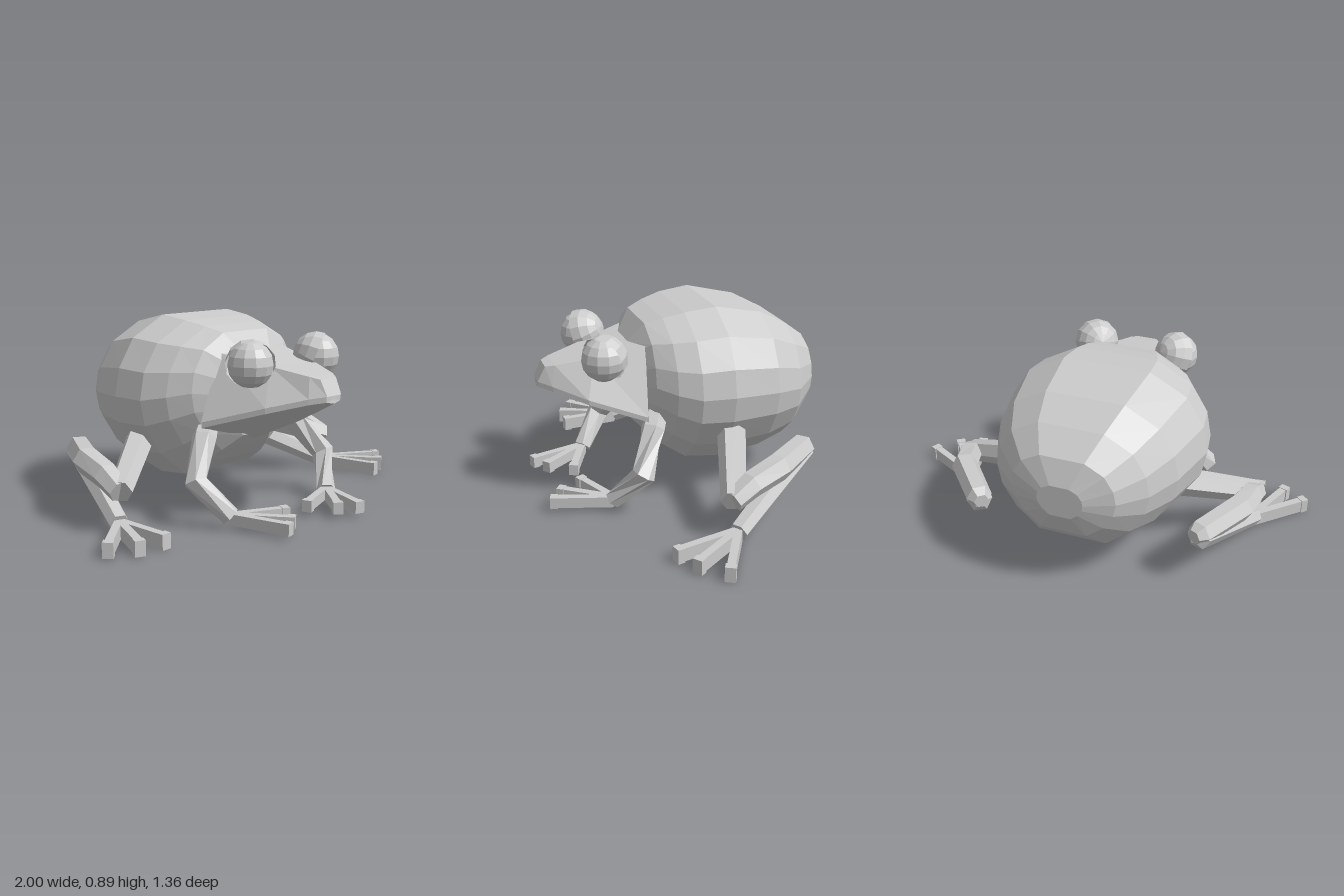
import * as THREE from 'three';

const mat = new THREE.MeshStandardMaterial({ color: 0xcccccc, flatShading: true });
const lidMat = new THREE.MeshStandardMaterial({ color: 0xcccccc, flatShading: true, side: THREE.DoubleSide });
const V = (x, y, z) => new THREE.Vector3(x, y, z);
const MID = -0.065; // centre line of the arms

// Closed faceted skin over rings that run counter-clockwise around the direction of travel
function skin(rings) {
  const pos = [], n = rings[0].length;
  const tri = (...p) => p.forEach(v => pos.push(v.x, v.y, v.z));
  const centre = r => r.reduce((s, v) => s.add(v), V(0, 0, 0)).divideScalar(n);
  const first = rings[0], last = rings[rings.length - 1];
  const c0 = centre(first), c1 = centre(last);
  for (let j = 0; j < n; j++) {
    const k = (j + 1) % n;
    for (let i = 0; i < rings.length - 1; i++) {
      const [a, b] = [rings[i], rings[i + 1]];
      tri(a[j], a[k], b[k]);
      tri(a[j], b[k], b[j]);
    }
    tri(c0, first[k], first[j]);
    tri(c1, last[j], last[k]);
  }
  const g = new THREE.BufferGeometry();
  g.setAttribute('position', new THREE.Float32BufferAttribute(pos, 3));
  g.computeVertexNormals();
  return g;
}

function add(parent, name, geometry, material = mat) {
  const m = new THREE.Mesh(geometry, material);
  m.name = name;
  parent.add(m);
  return m;
}

// Six-sided limb through points, one radius per point
function limb(points, radii) {
  return skin(points.map((p, i) => {
    const t = points[Math.min(i + 1, points.length - 1)].clone()
      .sub(points[Math.max(i - 1, 0)]).normalize();
    const u = V(0, 1, 0).cross(t).normalize();
    const w = t.clone().cross(u);
    return Array.from({ length: 6 }, (_, k) => {
      const a = k * Math.PI / 3;
      return p.clone().addScaledVector(u, radii[i] * Math.cos(a)).addScaledVector(w, radii[i] * Math.sin(a));
    });
  }));
}

// Bar-shaped digits with square pads, fanning out from one point
function digits(parent, name, from, tips, y, height) {
  tips.forEach(([x, z]) => {
    const dx = x - from.x, dz = z - from.z, len = Math.hypot(dx, dz);
    const digit = new THREE.Group();
    digit.name = name;
    digit.position.set(from.x, y, from.z);
    digit.rotation.y = Math.atan2(dx, dz);
    add(digit, name + 'Bar', new THREE.BoxGeometry(0.036, height * 0.92, len)).position.z = len / 2;
    add(digit, name + 'Pad', new THREE.BoxGeometry(0.046, height, 0.035)).position.z = len - 0.0175;
    parent.add(digit);
  });
}

function buildBody(frog) {
  const half = [[0.45, -1], [0.76, -0.66], [0.95, -0.27], [1, 0.06], [0.95, 0.4], [0.78, 0.75], [0.42, 1]];
  const outline = [...half, ...half.map(([x, y]) => [-x, y]).reverse()];
  // z, left edge, right edge, bottom, top
  const sections = [
    [-0.683, -0.19, 0.02, 0.42, 0.57], [-0.635, -0.32, 0.16, 0.31, 0.68], [-0.52, -0.43, 0.28, 0.2, 0.765],
    [-0.38, -0.515, 0.345, 0.16, 0.838], [-0.15, -0.58, 0.385, 0.14, 0.888], [0, -0.555, 0.365, 0.155, 0.872],
    [0.1, -0.49, 0.315, 0.22, 0.85], [0.18, -0.41, 0.24, 0.29, 0.825], [0.25, -0.27, 0.12, 0.36, 0.73],
  ];
  add(frog, 'body', skin(sections.map(([z, l, r, b, t]) =>
    outline.map(([x, y]) => V((l + r) / 2 + x * (r - l) / 2, (b + t) / 2 + y * (t - b) / 2, z)))));
}

function buildHead(frog) {
  // Centre x, lip half-width, lip y and z, crown half-width, crown y and z, chin y
  const sections = [
    [-0.065, 0.335, 0.45, 0.23, 0.2, 0.742, 0.2, 0.33],
    [-0.04, 0.215, 0.53, 0.48, 0.135, 0.697, 0.43, 0.445],
    [-0.035, 0.1, 0.573, 0.62, 0.075, 0.665, 0.6, 0.52],
    [-0.035, 0.045, 0.585, 0.676, 0.05, 0.655, 0.64, 0.55],
  ];
  add(frog, 'upperHead', skin(sections.map(([m, w, y, z, cw, cy, cz]) =>
    [V(m + w, y, z), V(m + cw, cy, cz), V(m - cw, cy, cz), V(m - w, y, z)])));
  add(frog, 'lowerJaw', skin(sections.map(([m, w, y, z, , , , chin]) => {
    const v = w * 0.98;
    return [V(m + v, y + 0.004, z - 0.004), V(m - v, y + 0.004, z - 0.004), V(m - v, y - 0.026, z - 0.004),
      V(m, chin, z), V(m + v, y - 0.026, z - 0.004)];
  })));
  // Eyeballs look outward and forward, lids cover the rear half
  for (const s of [-1, 1]) {
    const eye = new THREE.Group();
    eye.name = 'eye';
    eye.position.set(-0.055 + s * 0.212, 0.712, 0.402);
    add(eye, 'eyeball', new THREE.SphereGeometry(0.102, 12, 8));
    const lid = add(eye, 'eyelid', new THREE.SphereGeometry(0.111, 12, 4, 0, Math.PI * 2, 0, Math.PI / 2), lidMat);
    lid.quaternion.setFromUnitVectors(V(0, 1, 0), V(-s * 0.55, 0.35, -0.75).normalize());
    frog.add(eye);
  }
}

function buildFrontLegs(frog) {
  for (const s of [-1, 1]) {
    const leg = new THREE.Group();
    leg.name = s > 0 ? 'leftFrontLeg' : 'rightFrontLeg';
    const at = (x, y, z) => V(MID + s * x, y, z);
    const wrist = at(0.31, 0.055, 0.395);
    add(leg, 'arm', limb([at(0.22, 0.43, 0.15), at(0.285, 0.37, 0.195), at(0.41, 0.205, 0.28), wrist],
      [0.05, 0.056, 0.055, 0.045]));
    digits(leg, 'finger', wrist, [[0.225, 0.675], [0.14, 0.62], [0.06, 0.5]].map(([x, z]) => [MID + s * x, z]), 0.047, 0.055);
    frog.add(leg);
  }
}

function buildHindLeg(frog, name, { hip, knee, shin, ankle, heel, toes }) {
  const leg = new THREE.Group();
  leg.name = name;
  add(leg, 'thigh', limb([hip, knee], [0.068, 0.055]));
  // Shin with a rounded end at the ankle
  const tip = ankle.clone().add(ankle.clone().sub(shin).setLength(0.04));
  add(leg, 'shin', limb([knee, knee.clone().lerp(shin, 0.4).add(V(0, 0.015, 0)), shin, ankle, tip],
    [0.05, 0.06, 0.064, 0.06, 0.035]));
  const back = ankle.clone().add(V(0, -0.015, 0));
  add(leg, 'lowerLeg', limb([back.clone().add(back.clone().sub(heel).setLength(0.03)), back, heel], [0.035, 0.06, 0.045]));
  digits(leg, 'toe', heel, toes, 0.035, 0.068);
  frog.add(leg);
}

export function createModel() {
  const frog = new THREE.Group();
  frog.name = 'frog';
  buildBody(frog);
  buildHead(frog);
  buildFrontLegs(frog);
  buildHindLeg(frog, 'leftHindLeg', {
    hip: V(0.25, 0.35, -0.18), knee: V(0.68, 0.19, -0.02), shin: V(0.59, 0.272, -0.27),
    ankle: V(0.41, 0.265, -0.475), heel: V(0.7, 0.048, -0.04),
    toes: [[0.99, 0.115], [0.89, 0.22], [0.775, 0.275]],
  });
  buildHindLeg(frog, 'rightHindLeg', {
    hip: V(-0.43, 0.35, -0.15), knee: V(-0.77, 0.19, 0.13), shin: V(-0.75, 0.272, -0.14),
    ankle: V(-0.625, 0.265, -0.385), heel: V(-0.77, 0.048, 0.12),
    toes: [[-0.985, 0.335], [-0.875, 0.405], [-0.745, 0.41]],
  });
  return frog;
}
